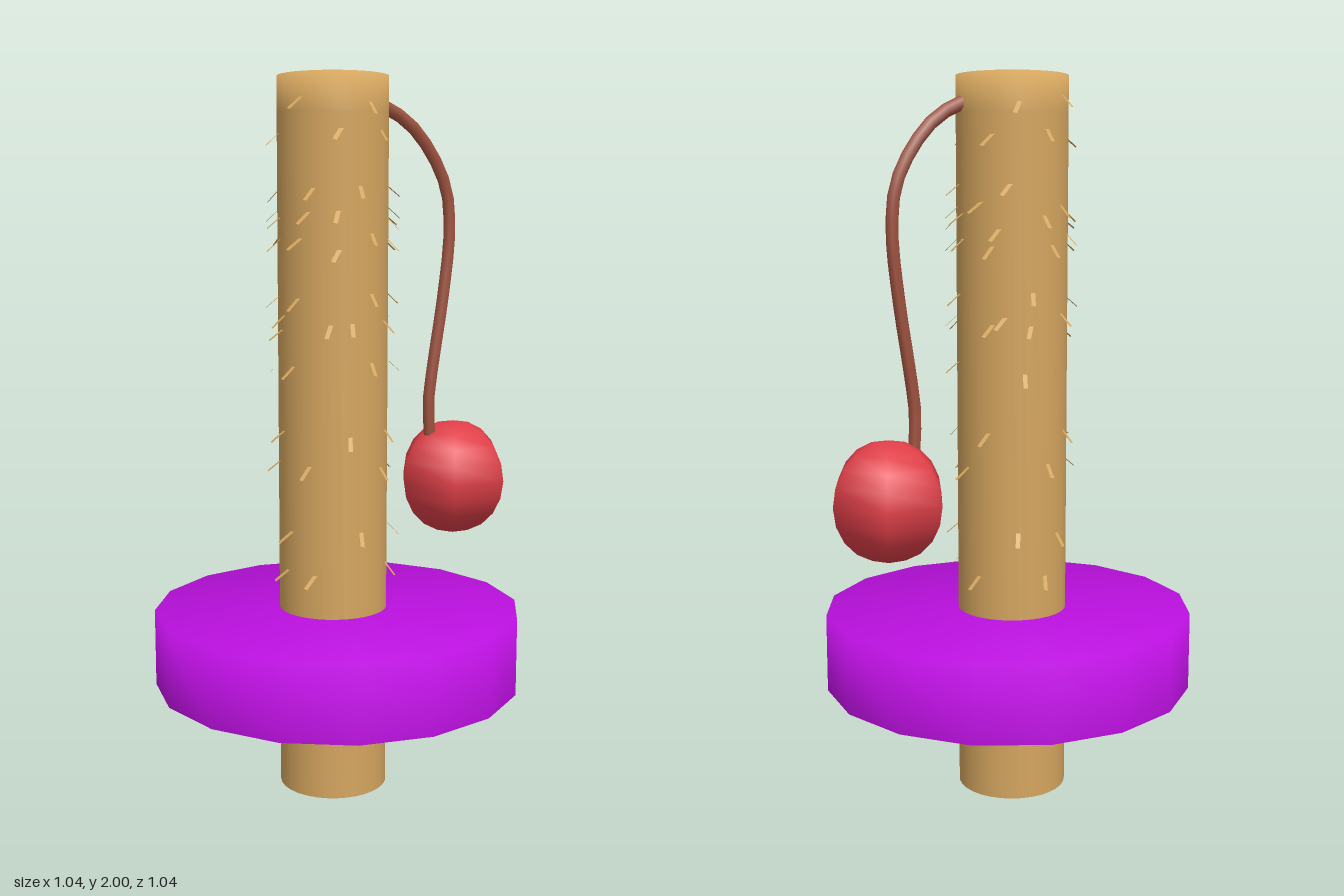
import * as THREE from 'three';

const POST_X = -0.012;
const POST_R = 0.153;

function material(color, doubleSided = false) {
  const m = new THREE.MeshStandardMaterial({ color });
  if (doubleSided) m.side = THREE.DoubleSide;
  return m;
}

function part(name, geometry, mat) {
  const mesh = new THREE.Mesh(geometry, mat);
  mesh.name = name;
  return mesh;
}

// Revolved profile with soft normals over its corners
function lathe(points, sides, phi = 0) {
  return new THREE.LatheGeometry(points.map(([r, y]) => new THREE.Vector2(r, y)), sides, phi);
}

// Small seeded generator for the scattered fibres
function seeded(seed) {
  return () => (seed = (seed * 16807) % 2147483647) / 2147483647;
}

export function createModel() {
  const group = new THREE.Group();
  group.name = 'scratchingPost';
  const tan = material(0xd4a55f, true);

  // Upright post, softened at the top rim, with a flat underside
  const post = part('post', lathe([[POST_R, 0], [POST_R, 1.9], [POST_R, 2], [0, 2]], 32), tan);
  post.position.x = POST_X;
  group.add(post);
  const underside = part('postUnderside', new THREE.CircleGeometry(POST_R, 32).rotateX(Math.PI / 2), tan);
  underside.position.x = POST_X;
  group.add(underside);

  // Round platform: closed on top, hollow and open below
  group.add(part('platform',
    lathe([[0.52, 0.305], [0.52, 0.523], [0, 0.523]], 16, 0.04), material(0xba10de, true)));

  // Cord bulging out diagonally, given as [distance along the diagonal axis, height]
  const cordPoints = [[0.095, 1.925], [0.15, 1.885], [0.205, 1.8], [0.24, 1.7], [0.248, 1.58],
    [0.235, 1.4], [0.215, 1.22], [0.204, 1.1], [0.207, 1.0]]
    .map(([d, y]) => new THREE.Vector3(d + 0.008, y, -d + 0.004));
  const cord = new THREE.CatmullRomCurve3(cordPoints);
  group.add(part('cord', new THREE.TubeGeometry(cord, 18, 0.019, 6), material(0xa0523f, true)));

  // Hanging ball
  const ball = part('ball', new THREE.SphereGeometry(0.166, 6, 10), material(0xe03f48));
  ball.position.set(0.27, 0.87, -0.265);
  ball.rotation.y = -THREE.MathUtils.degToRad(14);
  group.add(ball);

  // Loose fibres drooping outward from the post
  const fibres = new THREE.Group();
  fibres.name = 'fibres';
  fibres.position.x = POST_X;
  const fibre = new THREE.PlaneGeometry(0.012, 0.055).translate(0, -0.02, 0);
  const heights = [0.65, 0.76, 0.95, 1.03, 1.22, 1.33, 1.35, 1.41, 1.55, 1.58, 1.63, 1.65, 1.71, 1.85, 1.93];
  const random = seeded(71);
  heights.forEach((y, row) => {
    for (let i = 0; i < 5; i++) {
      const angle = (i + row * 0.382 + random() * 0.5) * Math.PI * 2 / 5;
      const pivot = new THREE.Group();
      pivot.rotation.y = angle;
      const mesh = part('fibre', fibre, tan);
      mesh.position.set(0, y + (random() - 0.5) * 0.03, POST_R);
      mesh.rotation.set(-0.8, 0, -0.1 - random() * 0.4);
      pivot.add(mesh);
      fibres.add(pivot);
    }
  });
  group.add(fibres);

  return group;
}
